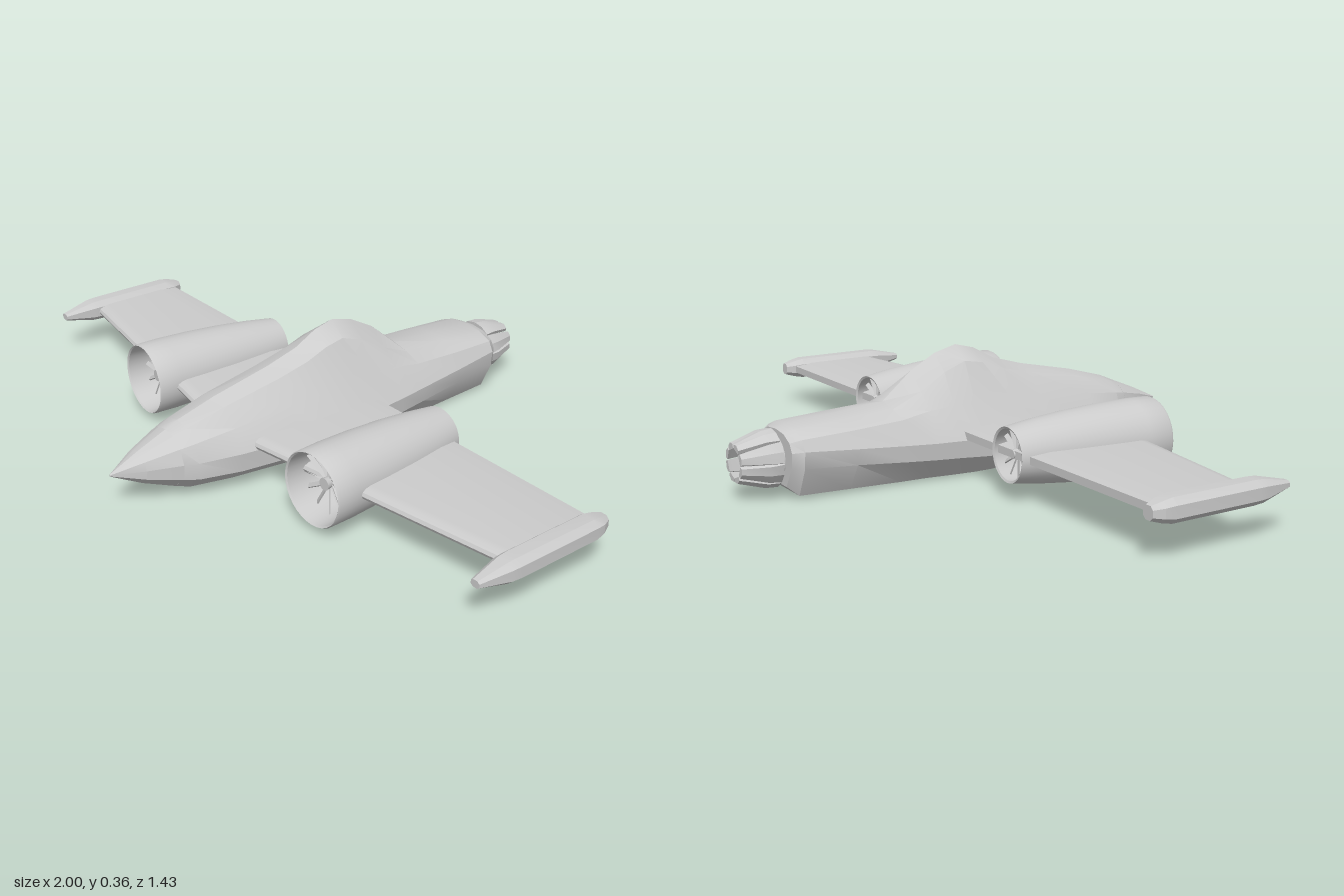
import * as THREE from 'three';
import { toCreasedNormals } from 'three/addons/utils/BufferGeometryUtils.js';

const material = new THREE.MeshStandardMaterial({ color: 0xcccccc, side: THREE.DoubleSide });

function mesh(name, geometry) {
  const m = new THREE.Mesh(geometry, material);
  m.name = name;
  return m;
}

// Skin closed rings of [x, y, z] points and cap both ends
function loft(rings, crease) {
  const pos = [];
  const n = rings[0].length;
  const centre = (r) => [0, 1, 2].map((k) => r.reduce((s, p) => s + p[k], 0) / n);
  const first = rings[0], last = rings[rings.length - 1];
  const c0 = centre(first), c1 = centre(last);
  for (let j = 0; j < n; j++) {
    const k = (j + 1) % n;
    for (let i = 0; i < rings.length - 1; i++) {
      const a = rings[i][j], b = rings[i][k], c = rings[i + 1][j], d = rings[i + 1][k];
      pos.push(...a, ...c, ...b, ...b, ...c, ...d);
    }
    pos.push(...c0, ...first[j], ...first[k], ...c1, ...last[k], ...last[j]);
  }
  const g = new THREE.BufferGeometry();
  g.setAttribute('position', new THREE.Float32BufferAttribute(pos, 3));
  return toCreasedNormals(g, crease);
}

// Hull section: flat keel, chine, shoulder, canopy flank and crown, mirrored about x = 0
function hullRing([z, yKeel, wKeel, wChine, yLow, yHigh, wShoulder, yShoulder, wCrown, yCrown, yTop]) {
  const half = [
    [wKeel, yKeel], [wChine * 0.97, yLow], [wChine, yHigh],
    [wShoulder, yShoulder], [wCrown, yCrown],
  ];
  return [
    [0, yKeel, z], ...half.map(([x, y]) => [x, y, z]),
    [0, yTop, z], ...half.slice().reverse().map(([x, y]) => [-x, y, z]),
  ];
}

function createFuselage() {
  const g = new THREE.Group();
  g.name = 'fuselage';
  const stations = [
    [0.54, 0.035, 0.035, 0.085, 0.075, 0.12, 0.07, 0.162, 0.035, 0.186, 0.193],
    [0.50, 0.025, 0.05, 0.103, 0.07, 0.12, 0.082, 0.17, 0.042, 0.2, 0.21],
    [0.38, 0.021, 0.075, 0.132, 0.065, 0.12, 0.1, 0.185, 0.05, 0.23, 0.243],
    [0.20, 0.014, 0.092, 0.152, 0.06, 0.115, 0.108, 0.198, 0.055, 0.262, 0.28],
    [0.10, 0.008, 0.1, 0.163, 0.06, 0.115, 0.108, 0.202, 0.056, 0.285, 0.308],
    [0.03, 0.004, 0.1, 0.165, 0.06, 0.115, 0.107, 0.205, 0.054, 0.31, 0.345],
    [-0.03, 0.004, 0.1, 0.162, 0.063, 0.115, 0.107, 0.208, 0.052, 0.32, 0.36],
    [-0.10, 0.006, 0.098, 0.158, 0.068, 0.118, 0.106, 0.208, 0.055, 0.295, 0.342],
    [-0.18, 0.009, 0.096, 0.152, 0.072, 0.12, 0.108, 0.204, 0.06, 0.25, 0.298],
    [-0.27, 0.01, 0.093, 0.145, 0.078, 0.125, 0.112, 0.19, 0.06, 0.211, 0.222],
    [-0.42, 0.013, 0.086, 0.135, 0.09, 0.135, 0.112, 0.182, 0.06, 0.203, 0.208],
  ];
  stations.push([-0.57, 0.016, 0.08, 0.122, 0.098, 0.145, 0.106, 0.175, 0.06, 0.194, 0.198]);
  stations.push([-0.598, 0.04, 0.06, 0.1, 0.1, 0.14, 0.086, 0.165, 0.05, 0.183, 0.188]);
  g.add(mesh('hull', loft(stations.map(hullRing), 0.45)));

  // Faceted nose cone
  const nose = [
    [0.715, 0.112, 0.001, 0.002, 0.113, 0.115, 0.002, 0.116, 0.001, 0.117, 0.118],
    [0.63, 0.07, 0.02, 0.047, 0.092, 0.118, 0.04, 0.142, 0.02, 0.153, 0.157],
    [0.538, 0.034, 0.035, 0.086, 0.075, 0.12, 0.071, 0.163, 0.035, 0.187, 0.194],
  ];
  g.add(mesh('noseCone', loft(nose.map(hullRing), 0.3)));
  return g;
}

// Straight trailing edge, swept rounded leading edge
function createWing() {
  const h = 0.018;
  const rings = [0.94, 0, -0.94].map((x) => {
    const lead = 0.36 - 0.16 * Math.abs(x);
    const ring = [[h * 0.6, -0.09], [h, -0.03]];
    for (let i = 0; i <= 6; i++) {
      const a = Math.PI / 2 - (i * Math.PI) / 6;
      ring.push([h * Math.sin(a), lead - 0.035 + 0.035 * Math.cos(a)]);
    }
    ring.push([-h, -0.03], [-h * 0.6, -0.09]);
    return ring.map(([y, z]) => [x, 0.13 + y, z]);
  });
  return mesh('wing', loft(rings, 0.6));
}

// Octagonal pod tapering to blunt ends
function createWingTip(side) {
  const rings = [
    [0.32, 0.014, 0.01], [0.23, 0.033, 0.03], [0.2, 0.035, 0.032],
    [-0.06, 0.035, 0.032], [-0.09, 0.03, 0.026], [-0.118, 0.017, 0.018],
  ].map(([z, w, h]) => {
    const ring = [[1, -0.5], [1, 0.5], [0.5, 1], [-0.5, 1], [-1, 0.5], [-1, -0.5], [-0.5, -1], [0.5, -1]];
    return ring.map(([x, y]) => [side * 0.965 + x * w, 0.13 + y * h, z]);
  });
  return mesh('wingTipPod', loft(rings, 0.2));
}

// Hub with pitched radial blades
function createFan(radius, z) {
  const fan = new THREE.Group();
  fan.name = 'fan';
  fan.position.z = z;
  const hub = new THREE.CylinderGeometry(0.012, 0.018, 0.04, 12).rotateX(-Math.PI / 2);
  fan.add(mesh('fanHub', hub));
  const count = 12;
  for (let i = 0; i < count; i++) {
    const blade = new THREE.BoxGeometry(0.013, radius - 0.01, 0.004);
    blade.rotateY(0.7).translate(0, (radius + 0.01) / 2, 0).rotateZ((i * 2 * Math.PI) / count);
    fan.add(mesh('fanBlade', blade));
  }
  return fan;
}

function createNacelle(side) {
  const g = new THREE.Group();
  g.name = 'nacelle';
  // Hollow duct: outer skin, rounded lips and inner wall
  const profile = [
    [0.076, -0.235], [0.088, -0.15], [0.098, -0.05], [0.105, 0.06], [0.108, 0.16],
    [0.107, 0.228], [0.104, 0.234], [0.1, 0.23], [0.094, 0.16], [0.092, 0.05],
    [0.084, -0.1], [0.07, -0.232], [0.076, -0.235],
  ].map(([r, y]) => new THREE.Vector2(r, y));
  const duct = new THREE.LatheGeometry(profile, 32).rotateX(Math.PI / 2);
  g.add(mesh('duct', toCreasedNormals(duct, 0.6)));
  const shaft = new THREE.CylinderGeometry(0.01, 0.01, 0.38, 10).rotateX(Math.PI / 2);
  g.add(mesh('fanShaft', shaft));
  g.add(createFan(0.096, 0.17), createFan(0.073, -0.2));
  g.position.set(side * 0.394, 0.13, 0.127);
  g.rotation.y = side * 0.056;
  return g;
}

// Exhaust with eight separated, inward-tapering petals
function createExhaust() {
  const g = new THREE.Group();
  g.name = 'exhaust';
  g.position.set(0, 0.11, -0.6);
  const collar = new THREE.CylinderGeometry(0.06, 0.06, 0.03, 16).rotateX(Math.PI / 2);
  g.add(mesh('exhaustCollar', toCreasedNormals(collar, 0.6)));
  const core = new THREE.CylinderGeometry(0.066, 0.04, 0.06, 16).rotateX(Math.PI / 2);
  core.translate(0, 0, -0.04);
  g.add(mesh('exhaustCore', toCreasedNormals(core, 0.6)));
  const bands = [[-0.01, 0.078, 0.029], [-0.045, 0.076, 0.026], [-0.12, 0.053, 0.015]];
  for (let i = 0; i < 8; i++) {
    const rings = bands.map(([z, r, w]) => [
      [-w, r - 0.014, z], [w, r - 0.014, z], [w, r - 0.003, z], [0, r + 0.003, z], [-w, r - 0.003, z],
    ]);
    const petal = loft(rings, 0.3);
    petal.rotateZ(((i + 0.5) * Math.PI) / 4);
    g.add(mesh('exhaustPetal', petal));
  }
  return g;
}

export function createModel() {
  const model = new THREE.Group();
  model.name = 'aircraft';
  model.add(createFuselage(), createWing(), createExhaust());
  for (const side of [1, -1]) {
    model.add(createNacelle(side), createWingTip(side));
  }
  return model;
}
